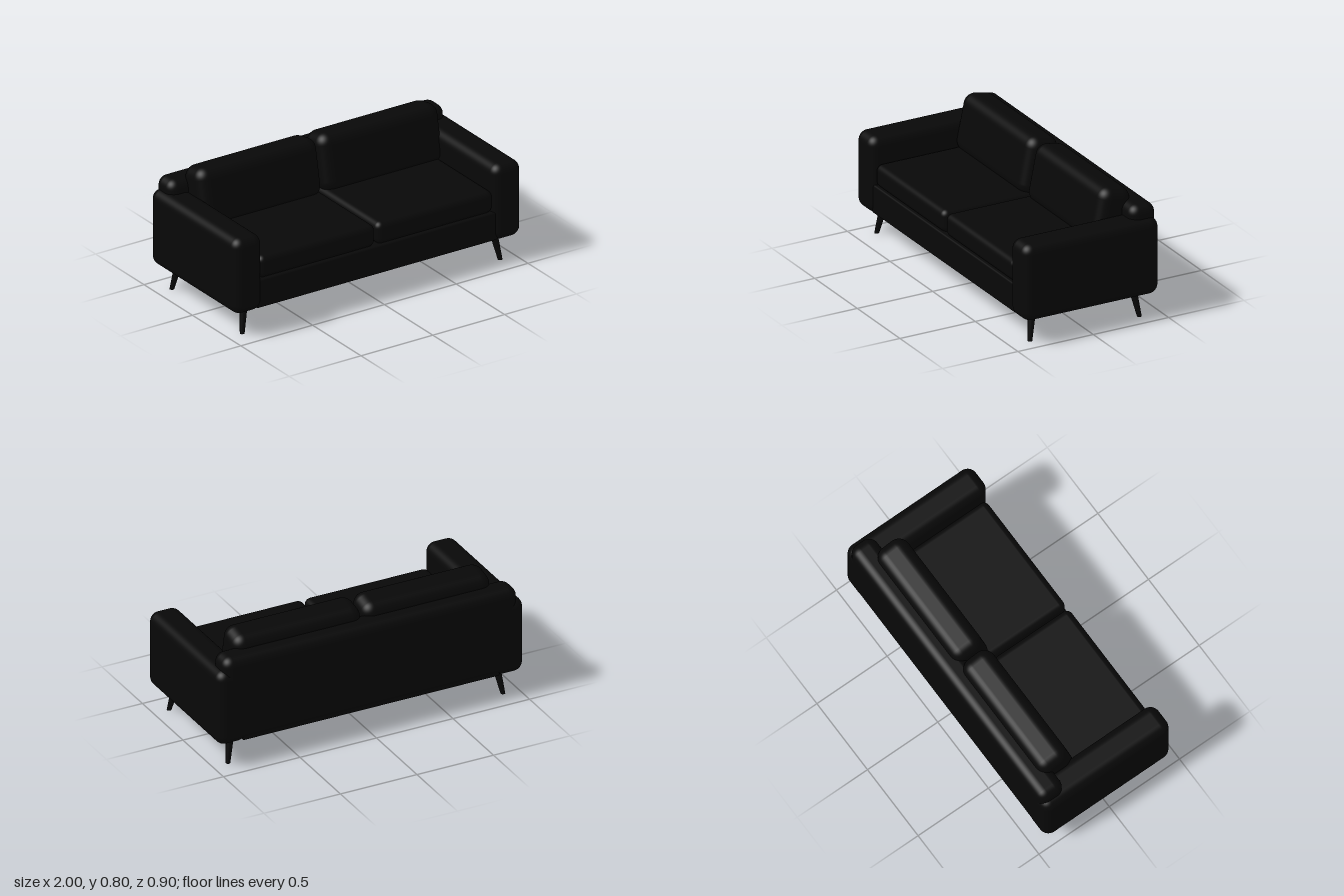
import * as THREE from 'three';
import { RoundedBoxGeometry } from 'three/addons/geometries/RoundedBoxGeometry.js';

export function createModel() {
  const sofa = new THREE.Group();
  sofa.name = 'sofa';
  const black = new THREE.MeshStandardMaterial({ color: 0x080808 });
  black.name = 'black';

  // Soft-edged block given by its [min, max] extents
  function block(name, [x0, x1], [y0, y1], [z0, z1], radius) {
    const geometry = new RoundedBoxGeometry(x1 - x0, y1 - y0, z1 - z0, 6, radius);
    const mesh = new THREE.Mesh(geometry, black);
    mesh.name = name;
    mesh.position.set((x0 + x1) / 2, (y0 + y1) / 2, (z0 + z1) / 2);
    sofa.add(mesh);
    return mesh;
  }

  // Frame and backrest
  block('base', [-0.84, 0.84], [0.165, 0.345], [-0.44, 0.43], 0.012);
  block('backrest', [-0.96, 0.96], [0.165, 0.717], [-0.45, -0.28], 0.06);

  for (const side of [1, -1]) {
    const label = side > 0 ? 'left' : 'right';
    const span = (a, b) => (side > 0 ? [a, b] : [-b, -a]);

    block(label + 'Arm', span(0.805, 1), [0.157, 0.638], [-0.45, 0.45], 0.06);
    block(label + 'SeatCushion', span(0.005, 0.815), [0.34, 0.48], [-0.3, 0.425], 0.04);

    // Back cushion leans against the backrest
    const cushion = block(label + 'BackCushion', span(0.005, 0.84), [0.436, 0.796], [-0.335, -0.129], 0.07);
    cushion.rotation.x = -0.2;

    // Tapered legs splayed outwards to the corners
    for (const end of [1, -1]) {
      const geometry = new THREE.CylinderGeometry(0.026, 0.014, 0.2, 20, 1);
      geometry.applyMatrix4(new THREE.Matrix4().set(
        1, -0.17 * side, 0, 0.881 * side,
        0, 1, 0, 0.1,
        0, -0.17 * end, 1, 0.346 * end,
        0, 0, 0, 1
      ));
      const leg = new THREE.Mesh(geometry, black);
      leg.name = label + (end > 0 ? 'FrontLeg' : 'BackLeg');
      sofa.add(leg);
    }
  }
  return sofa;
}
